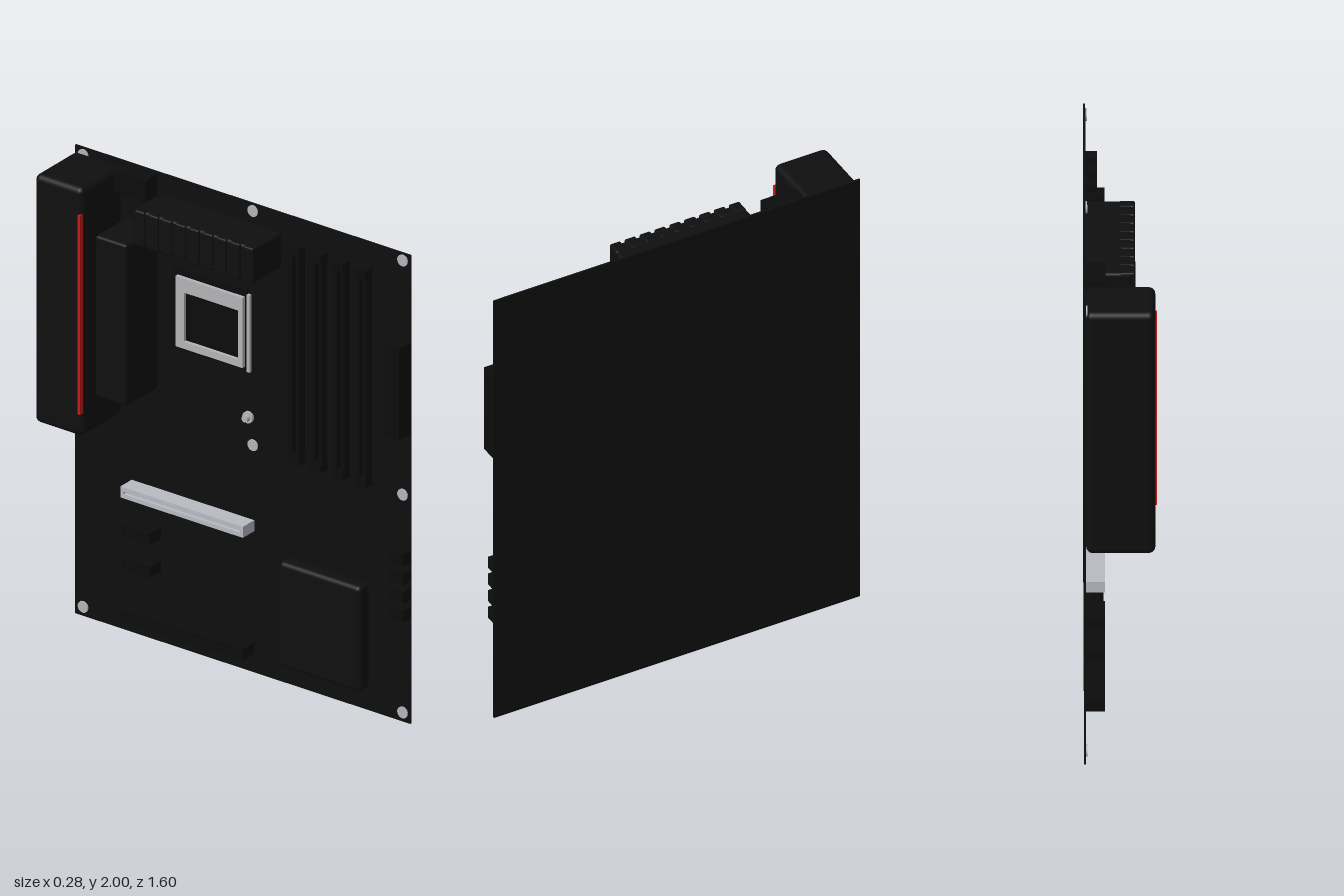
import * as THREE from 'three';
import { RoundedBoxGeometry } from 'three/addons/geometries/RoundedBoxGeometry.js';

const FACE = 0.129; // x of the component side of the board

const mat = (name, color, side = THREE.FrontSide) => {
  const m = new THREE.MeshStandardMaterial({ color, side });
  m.name = name;
  return m;
};

export function createModel() {
  const root = new THREE.Group();
  root.name = 'circuitBoard';

  const boardBlack = mat('boardBlack', 0x0e0e0e);
  const plastic = mat('blackPlastic', 0x0c0c0c);
  const sink = mat('heatsinkBlack', 0x0f0f0f);
  const steel = mat('steel', 0xb4b5b8);
  const slotSilver = mat('slotSilver', 0xb9bbc4);
  const red = mat('redAccent', 0xc81818);

  const add = (name, geo, material, parent = root) => {
    const m = new THREE.Mesh(geo, material);
    m.name = name;
    parent.add(m);
    return m;
  };
  // Box given by its limits; r > 0 rounds the edges
  const box = (name, [x0, x1], [y0, y1], [z0, z1], material, r = 0, parent = root) => {
    const s = [x1 - x0, y1 - y0, z1 - z0];
    const g = r ? new RoundedBoxGeometry(...s, 3, r) : new THREE.BoxGeometry(...s);
    g.translate((x0 + x1) / 2, (y0 + y1) / 2, (z0 + z1) / 2);
    return add(name, g, material, parent);
  };
  const group = (name) => {
    const g = new THREE.Group();
    g.name = name;
    root.add(g);
    return g;
  };
  // Round stud standing out of the component side
  const stud = (name, y, z, r, h, parent = root) => {
    const g = new THREE.CylinderGeometry(r, r, h, 16).rotateZ(Math.PI / 2);
    g.translate(FACE - h / 2, y, z);
    return add(name, g, steel, parent);
  };

  // Board
  box('board', [FACE, 0.137], [0, 2], [-0.8, 0.8], boardBlack);

  // Rear port cover with its red strip
  box('portCover', [-0.136, FACE], [0.92, 1.98], [-0.8, -0.57], sink, 0.025);
  box('accentStrip', [-0.142, -0.11], [1.02, 1.87], [-0.586, -0.574], red);

  // Side heatsink beside the processor
  box('sideHeatsink', [-0.081, FACE], [1.08, 1.77], [-0.55, -0.4], sink, 0.012);

  // Finned heatsink above the processor
  const topSink = group('topHeatsink');
  box('topHeatsinkCore', [-0.05, FACE], [1.77, 1.92], [-0.38, 0.19], sink, 0.012, topSink);
  for (let i = 0; i < 9; i++) {
    const z = -0.355 + i * 0.065;
    box('topHeatsinkFin', [-0.06, 0], [1.77, 1.922], [z - 0.024, z + 0.024], sink, 0.008, topSink);
  }

  // Processor socket: frame, carrier and lever
  const socket = group('processorSocket');
  box('socketBase', [0.115, FACE], [1.28, 1.63], [-0.33, 0.03], plastic, 0, socket);
  const frame = new THREE.Shape();
  frame.moveTo(-0.3, 1.3).lineTo(0.02, 1.3).lineTo(0.02, 1.6).lineTo(-0.3, 1.6).closePath();
  const hole = new THREE.Path();
  hole.moveTo(-0.26, 1.33).lineTo(-0.26, 1.54).lineTo(0.0, 1.54).lineTo(0.0, 1.33).closePath();
  frame.holes.push(hole);
  const frameGeo = new THREE.ExtrudeGeometry(frame, { depth: 0.015, bevelEnabled: false });
  frameGeo.rotateY(-Math.PI / 2).translate(0.115, 0, 0);
  add('socketFrame', frameGeo, steel, socket);
  box('socketLever', [0.1, 0.112], [1.29, 1.62], [0.04, 0.055], steel, 0, socket);

  // Memory slots with end latches
  const memory = group('memorySlots');
  for (let i = 0; i < 4; i++) {
    const z = 0.27 + i * 0.107;
    for (const side of [-1, 1]) {
      box('memorySlotRail', [0.095, FACE], [1.0, 1.86], [z + side * 0.017 - 0.009, z + side * 0.017 + 0.009], plastic, 0, memory);
    }
    box('memorySlotFloor', [0.115, FACE], [1.0, 1.86], [z - 0.01, z + 0.01], plastic, 0, memory);
    for (const y of [0.97, 1.86]) {
      box('memoryLatch', [0.085, FACE], [y, y + 0.035], [z - 0.028, z + 0.028], plastic, 0, memory);
    }
  }

  // Power connectors
  box('mainPowerConnector', [0.055, FACE], [1.24, 1.63], [0.73, 0.8], plastic);
  box('processorPowerConnector', [0.055, FACE], [1.9, 1.99], [-0.565, -0.41], plastic);

  // Drive ports along the front edge
  const drives = group('drivePorts');
  for (let i = 0; i < 4; i++) {
    const y = 0.45 + i * 0.08;
    box('drivePort', [0.086, FACE], [y, y + 0.05], [0.73, 0.8], plastic, 0, drives);
  }

  // Chipset heatsink
  box('chipsetHeatsink', [0.06, FACE], [0.1, 0.55], [0.22, 0.61], sink, 0.02);

  // Expansion slots: two walls, a floor and end caps each
  const slot = (name, y, z0, z1, material) => {
    const g = group(name);
    const x = [0.056, FACE];
    box('slotWall', x, [y, y + 0.018], [z0, z1], material, 0, g);
    box('slotWall', x, [y + 0.029, y + 0.047], [z0, z1], material, 0, g);
    box('slotFloor', [0.07, FACE], [y + 0.018, y + 0.029], [z0, z1], material, 0, g);
    for (const z of [z0, z1 - 0.015]) {
      box('slotEnd', x, [y + 0.018, y + 0.029], [z, z + 0.015], material, 0, g);
    }
  };
  slot('graphicsSlot', 0.603, -0.53, 0.055, slotSilver);
  slot('lowerLongSlot', 0.08, -0.53, 0.055, plastic);
  slot('shortSlot', 0.3, -0.53, -0.39, plastic);
  slot('upperShortSlot', 0.44, -0.53, -0.39, plastic);

  // Mounting screws and the card standoff
  const screws = group('mountingScrews');
  const spots = [[1.97, -0.76], [1.97, 0.05], [1.97, 0.765], [0.97, 0.05], [0.97, 0.765], [0.04, -0.76], [0.04, 0.765]];
  for (const [y, z] of spots) stud('mountingScrew', y, z, 0.024, 0.006, screws);
  stud('standoffBase', 1.085, 0.03, 0.014, 0.03);
  stud('standoffCollar', 1.085, 0.03, 0.024, 0.012);

  return root;
}
